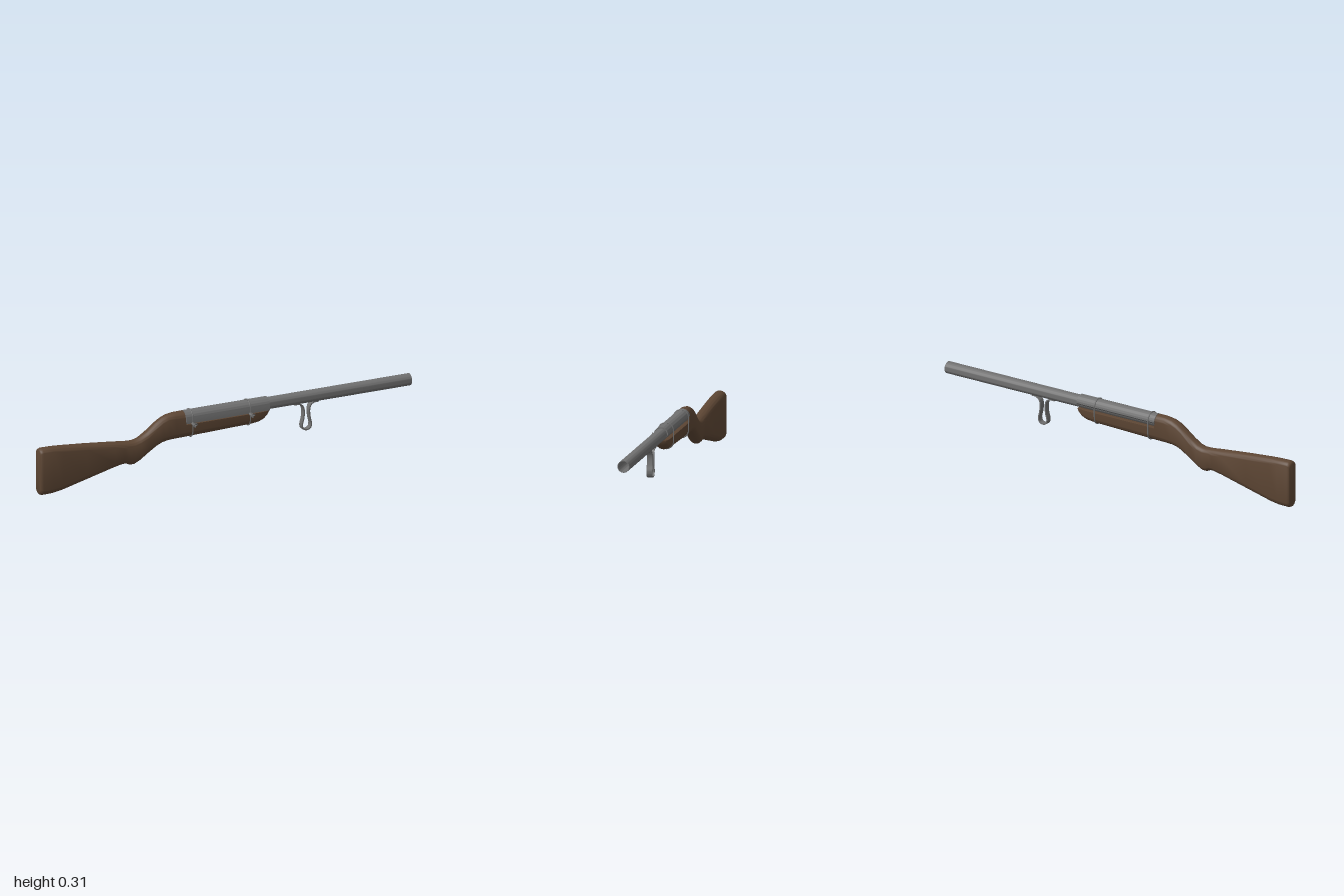
import * as THREE from 'three';
import { toCreasedNormals } from 'three/addons/utils/BufferGeometryUtils.js';

const AXIS_Y = 0.272, AXIS_Z = -0.014;

function material(name, color, side = THREE.FrontSide) {
  const m = new THREE.MeshStandardMaterial({ color, side });
  m.name = name;
  return m;
}

// Lofts rounded upright sections [x, bottom, top, halfWidth, topRounding] along x.
function loftStock(stations, n = 32) {
  const pos = [], index = [];
  for (const [x, bottom, top, w, round] of stations) {
    const low = Math.min(w, (top - bottom) * 0.5);
    for (let j = 0; j < n; j++) {
      const a = ((j + 0.5) / n) * Math.PI * 2, s = Math.sin(a);
      const y = s > 0 ? top - round + round * s : bottom + low + low * s;
      pos.push(x, y, AXIS_Z + w * Math.cos(a));
    }
  }
  const rows = stations.length;
  for (let i = 0; i < rows - 1; i++) {
    for (let j = 0; j < n; j++) {
      const a = i * n + j, b = i * n + (j + 1) % n;
      index.push(a, a + n, b, b, a + n, b + n);
    }
  }
  // end caps
  for (const [row, flip] of [[0, false], [rows - 1, true]]) {
    const c = pos.length / 3, [x, bottom, top] = stations[row];
    pos.push(x, (bottom + top) / 2, AXIS_Z);
    for (let j = 0; j < n; j++) {
      const a = row * n + j, b = row * n + (j + 1) % n;
      if (flip) index.push(c, b, a); else index.push(c, a, b);
    }
  }
  const g = new THREE.BufferGeometry();
  g.setAttribute('position', new THREE.Float32BufferAttribute(pos, 3));
  g.setIndex(index);
  return toCreasedNormals(g, 0.9);
}

export function createModel() {
  const group = new THREE.Group();
  const wood = material('wood', 0x5c4533);
  const metal = material('metal', 0x707070, THREE.DoubleSide);
  const brass = material('brass', 0xd6a52c);
  const add = (name, geometry, mat, parent = group) => {
    const mesh = new THREE.Mesh(geometry, mat);
    mesh.name = name;
    parent.add(mesh);
    return mesh;
  };

  // Wooden stock from butt to fore end
  add('stock', loftStock([
    [-1.0, 0.016, 0.226, 0.024, 0.024],
    [-0.996, 0.007, 0.234, 0.03, 0.026],
    [-0.985, 0.003, 0.239, 0.032, 0.028],
    [-0.93, 0.004, 0.238, 0.032, 0.028],
    [-0.88, 0.012, 0.235, 0.032, 0.028],
    [-0.75, 0.044, 0.224, 0.032, 0.028],
    [-0.60, 0.081, 0.209, 0.032, 0.03],
    [-0.55, 0.091, 0.203, 0.032, 0.03],
    [-0.53, 0.09, 0.201, 0.032, 0.03],
    [-0.51, 0.081, 0.2, 0.032, 0.03],
    [-0.49, 0.081, 0.2, 0.032, 0.03],
    [-0.46, 0.095, 0.208, 0.032, 0.03],
    [-0.42, 0.122, 0.232, 0.032, 0.03],
    [-0.37, 0.153, 0.269, 0.032, 0.03],
    [-0.34, 0.166, 0.288, 0.032, 0.03],
    [-0.31, 0.172, 0.3, 0.032, 0.03],
    [-0.27, 0.174, 0.306, 0.033, 0.031],
    [-0.222, 0.175, 0.306, 0.034, 0.032],
    [-0.219, 0.175, 0.245, 0.0345, 0.002],
    [0.14, 0.185, 0.245, 0.0345, 0.002],
    [0.18, 0.19, 0.245, 0.034, 0.002],
    [0.205, 0.201, 0.245, 0.032, 0.002],
    [0.222, 0.219, 0.245, 0.029, 0.002],
    [0.231, 0.237, 0.245, 0.025, 0.002],
  ]), wood);

  // Hollow barrel with a thick wall
  const wall = [[0.026, -0.215], [0.0295, -0.215], [0.0295, 1], [0.026, 1], [0.026, -0.215]];
  const barrel = add('barrel', toCreasedNormals(
    new THREE.LatheGeometry(wall.map(([r, y]) => new THREE.Vector2(r, y)), 40), 0.6), metal);
  barrel.rotation.z = -Math.PI / 2;
  barrel.position.set(0, AXIS_Y, AXIS_Z);

  // Brass plug deep in the bore
  const plug = add('borePlug', new THREE.CylinderGeometry(0.0265, 0.0265, 0.02, 40), brass);
  plug.rotation.z = -Math.PI / 2;
  plug.position.set(-0.2, AXIS_Y, AXIS_Z);

  // Arched sleeve over the rear of the barrel
  const arch = new THREE.Shape();
  arch.moveTo(0.035, -0.025);
  arch.absarc(0, 0, 0.035, 0, Math.PI, false);
  arch.lineTo(-0.035, -0.025);
  arch.absarc(0, 0, 0.029, Math.PI + 1.04, -1.04, true);
  arch.closePath();
  const sleeve = add('sleeve', toCreasedNormals(new THREE.ExtrudeGeometry(arch,
    { depth: 0.45, bevelEnabled: false, curveSegments: 32 }), 0.5), metal);
  sleeve.rotation.y = Math.PI / 2;
  sleeve.position.set(-0.22, AXIS_Y, AXIS_Z);

  // Wire bands around sleeve and stock, each with a twisted tail
  for (const [x, bottom] of [[-0.185, 0.175], [0.125, 0.184]]) {
    const band = new THREE.Group();
    band.name = 'wireBand';
    group.add(band);
    const loop = [], r = 0.0365, lowY = bottom + r - 0.002;
    for (let i = 0; i < 32; i++) {
      const a = ((i + 0.5) / 32) * Math.PI * 2;
      loop.push(new THREE.Vector3(x, (Math.sin(a) > 0 ? AXIS_Y : lowY) + r * Math.sin(a), AXIS_Z + r * Math.cos(a)));
    }
    add('bandLoop', new THREE.TubeGeometry(new THREE.CatmullRomCurve3(loop, true), 80, 0.003, 8, true), metal, band);
    for (const phase of [0, Math.PI]) {
      const twist = [];
      for (let i = 0; i <= 24; i++) {
        const t = i / 24, a = phase + Math.PI / 2 + t * Math.PI * 4;
        const spread = t > 0.85 ? 0.009 : 0.0055;
        twist.push(new THREE.Vector3(x + spread * Math.cos(a), 0.245 + spread * Math.sin(a), 0.02 + t * 0.032));
      }
      add('twistedTail', new THREE.TubeGeometry(new THREE.CatmullRomCurve3(twist), 64, 0.003, 6), metal, band);
    }
  }

  // Bent strip hanging below the barrel
  const path = new THREE.CatmullRomCurve3([
    [0.375, 0.244], [0.4, 0.243], [0.419, 0.232], [0.427, 0.208], [0.425, 0.17], [0.417, 0.135],
    [0.423, 0.116], [0.441, 0.11], [0.459, 0.116], [0.466, 0.135], [0.459, 0.17], [0.456, 0.208],
    [0.464, 0.232], [0.482, 0.243], [0.507, 0.244],
  ].map(([x, y]) => new THREE.Vector3(x, y, 0)));
  const inner = [], outer = [], steps = 60;
  for (let i = 0; i <= steps; i++) {
    const p = path.getPoint(i / steps), t = path.getTangent(i / steps);
    inner.push(new THREE.Vector2(p.x - t.y * 0.003, p.y + t.x * 0.003));
    outer.push(new THREE.Vector2(p.x + t.y * 0.003, p.y - t.x * 0.003));
  }
  const strip = new THREE.Shape([...outer, ...inner.reverse()]);
  const hook = add('hangingHook', toCreasedNormals(
    new THREE.ExtrudeGeometry(strip, { depth: 0.028, bevelEnabled: false }), 0.6), metal);
  hook.position.z = AXIS_Z - 0.014;

  return group;
}
